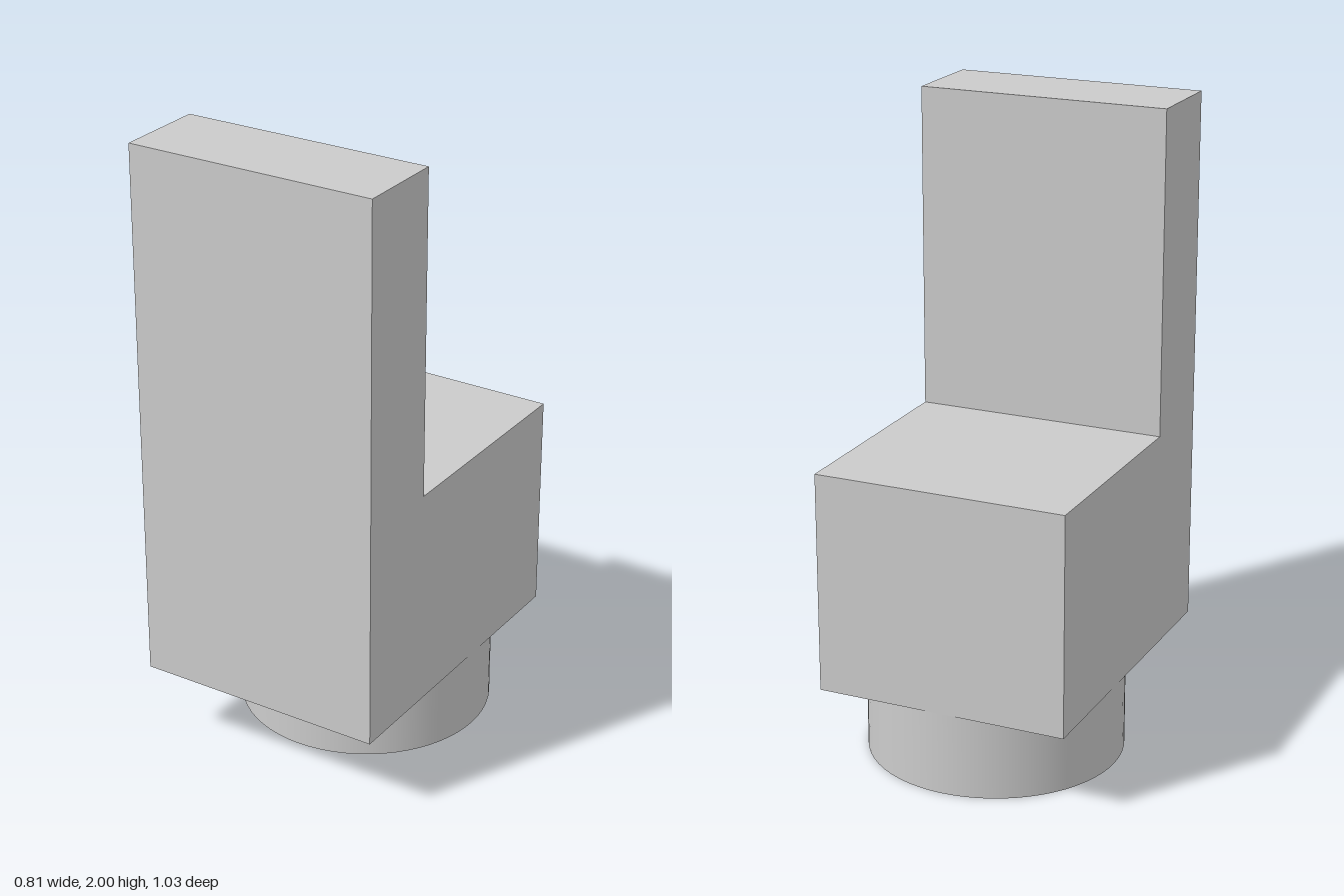
import * as THREE from 'three';

const HALF_WIDTH = 0.406;
const HALF_DEPTH = 0.516;
const BASE_HEIGHT = 0.265;
const SEAT_TOP = 0.97;
const BACK_FACE = 0.222;

export function createModel() {
  const model = new THREE.Group();
  const material = new THREE.MeshStandardMaterial({ color: 0xcccccc });

  // Body: L-shaped side profile (z, y) extruded across the width
  const profile = new THREE.Shape([
    [-HALF_DEPTH, BASE_HEIGHT],
    [HALF_DEPTH, BASE_HEIGHT],
    [HALF_DEPTH, 2],
    [BACK_FACE, 2],
    [BACK_FACE, SEAT_TOP],
    [-HALF_DEPTH, SEAT_TOP],
  ].map(([z, y]) => new THREE.Vector2(z, y)));
  const bodyGeometry = new THREE.ExtrudeGeometry(profile, {
    depth: 2 * HALF_WIDTH,
    bevelEnabled: false,
  });
  bodyGeometry.translate(0, 0, -HALF_WIDTH).rotateY(-Math.PI / 2);
  const body = new THREE.Mesh(bodyGeometry, material);
  body.name = 'seatAndBackrest';
  model.add(body);

  // Round pedestal, flush with the body's sides and seat edge
  const pedestal = new THREE.Mesh(
    new THREE.CylinderGeometry(HALF_WIDTH, HALF_WIDTH, BASE_HEIGHT, 64),
    material,
  );
  pedestal.name = 'pedestal';
  pedestal.position.set(0, BASE_HEIGHT / 2, HALF_WIDTH - HALF_DEPTH);
  model.add(pedestal);

  return model;
}
